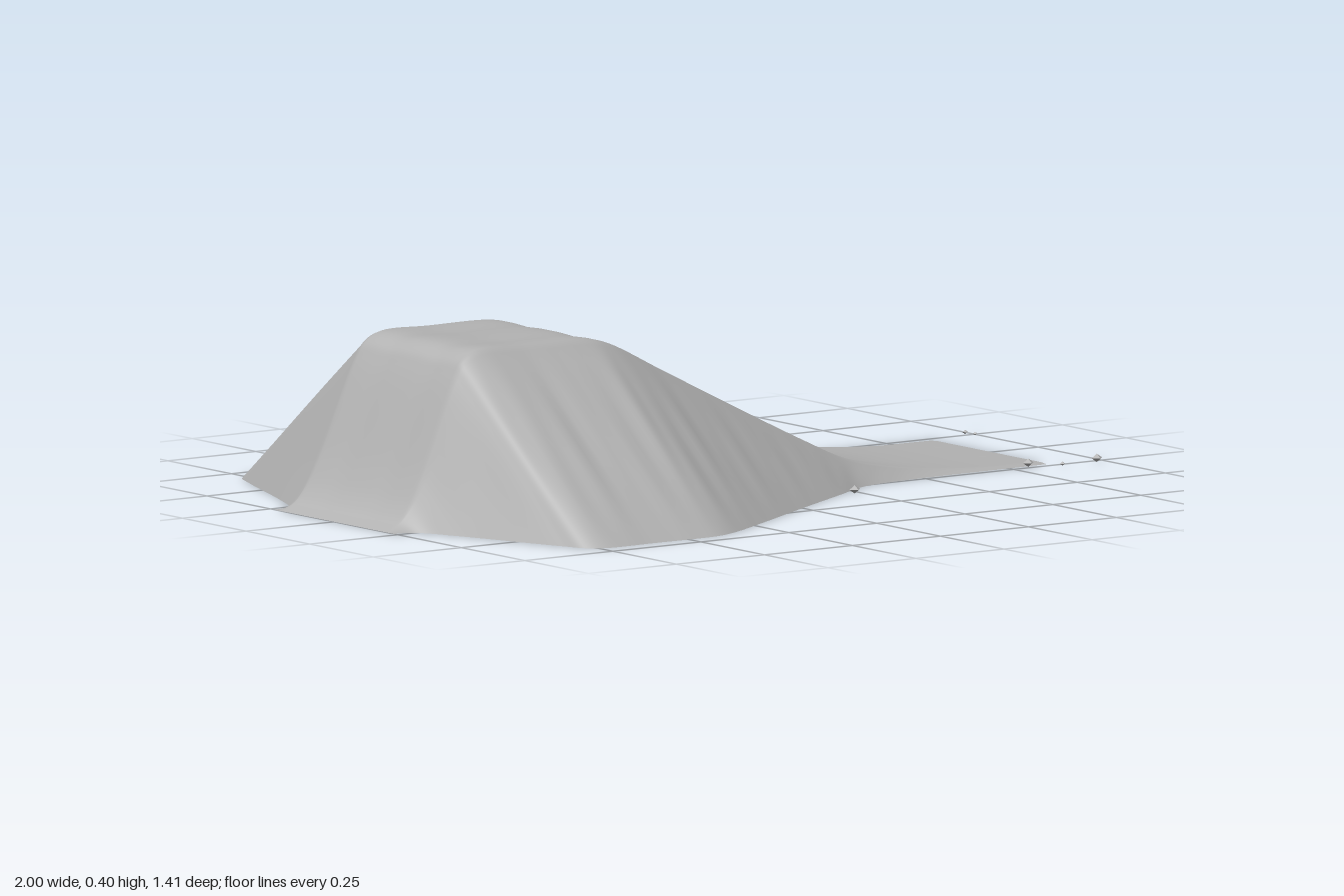
import * as THREE from 'three';

const earth = new THREE.MeshStandardMaterial({ color: 0xb2b2b2 });
earth.name = 'grey earth';

// Stations along the ramp: x, crest height, half width at the ground
const spine = new THREE.CatmullRomCurve3([
  [-1, 0, 0.235], [-0.965, 0.018, 0.24], [-0.94, 0.045, 0.262], [-0.9, 0.115, 0.35], [-0.8, 0.34, 0.615],
  [-0.77, 0.383, 0.68], [-0.73, 0.4, 0.702], [-0.6, 0.4, 0.702], [-0.42, 0.398, 0.7], [-0.36, 0.384, 0.68],
  [-0.2, 0.305, 0.585], [0, 0.205, 0.458], [0.2, 0.107, 0.335], [0.3, 0.062, 0.272], [0.38, 0.04, 0.25],
  [0.5, 0.02, 0.238], [0.68, 0.006, 0.233], [0.86, 0.002, 0.228],
].map((p) => new THREE.Vector3(...p)));

const STEPS = 150;
const SIDE = 12;

// Half section from the ground edge up to the centre line, as [y, z]
function halfSection(x, h, w) {
  const points = [];
  const shoulder = 0.205;
  for (let k = 0; k <= SIDE; k++) {
    const t = k / SIDE;
    // Faint erosion ripples running down the bank
    const ripple = (Math.sin(x * 47 + t * 2) + Math.sin(x * 83 - t * 3)) * 0.003 * h * Math.sin(t * Math.PI);
    points.push([h * 0.97 * t + ripple, w + (shoulder - w) * t + ripple]);
  }
  points.push([h * 0.99, 0.197], [h, 0.186]);
  // Shallow wheel ruts in the track
  const rut = 0.004 * Math.min(1, h / 0.1);
  for (const [z, d] of [[0.15, 0], [0.12, 0.4], [0.09, 1], [0.06, 0.4], [0.03, 0], [0, 0]]) {
    points.push([h - rut * d, z]);
  }
  return points;
}

// Lofts the sections; the underside uses the same outline pressed flat
function loft(flat) {
  const positions = [];
  const indices = [];
  let ring = 0;
  for (let i = 0; i <= STEPS; i++) {
    const s = spine.getPoint(i / STEPS);
    const half = halfSection(s.x, Math.max(0, s.y), s.z);
    const mirrored = half.slice(0, -1).reverse().map(([y, z]) => [y, -z]);
    const section = flat ? [half[0], mirrored[mirrored.length - 1]] : [...half, ...mirrored];
    ring = section.length;
    for (const [y, z] of section) positions.push(s.x, flat ? 0 : Math.max(0, y), z);
  }
  for (let i = 0; i < STEPS; i++) {
    for (let j = 0; j < ring - 1; j++) {
      const a = i * ring + j;
      const b = a + 1;
      const c = a + ring;
      const d = c + 1;
      if (flat) indices.push(a, b, c, b, d, c);
      else indices.push(a, c, b, b, c, d);
    }
  }
  const geometry = new THREE.BufferGeometry();
  geometry.setAttribute('position', new THREE.Float32BufferAttribute(positions, 3));
  geometry.setIndex(indices);
  geometry.computeVertexNormals();
  return geometry;
}

export function createModel() {
  const group = new THREE.Group();
  group.name = 'dirtRamp';
  const add = (geometry, name) => {
    const mesh = new THREE.Mesh(geometry, earth);
    mesh.name = name;
    group.add(mesh);
    return mesh;
  };

  add(loft(false), 'rampSurface');
  add(loft(true), 'rampUnderside');

  // Loose pebbles: x, z, radius
  const pebbles = [
    [0.035, -0.518, 0.015], [0.158, -0.415, 0.015], [0.208, -0.354, 0.014], [0.287, -0.338, 0.008],
    [0.983, -0.264, 0.008], [0.992, -0.237, 0.006], [0.232, 0.342, 0.015], [0.8, 0.238, 0.015],
    [0.877, 0.266, 0.007], [0.973, 0.268, 0.015],
  ];
  for (const [x, z, r] of pebbles) {
    const pebble = add(new THREE.OctahedronGeometry(r), 'pebble');
    pebble.scale.y = 0.65;
    pebble.position.set(x, r * 0.65, z);
  }
  return group;
}
